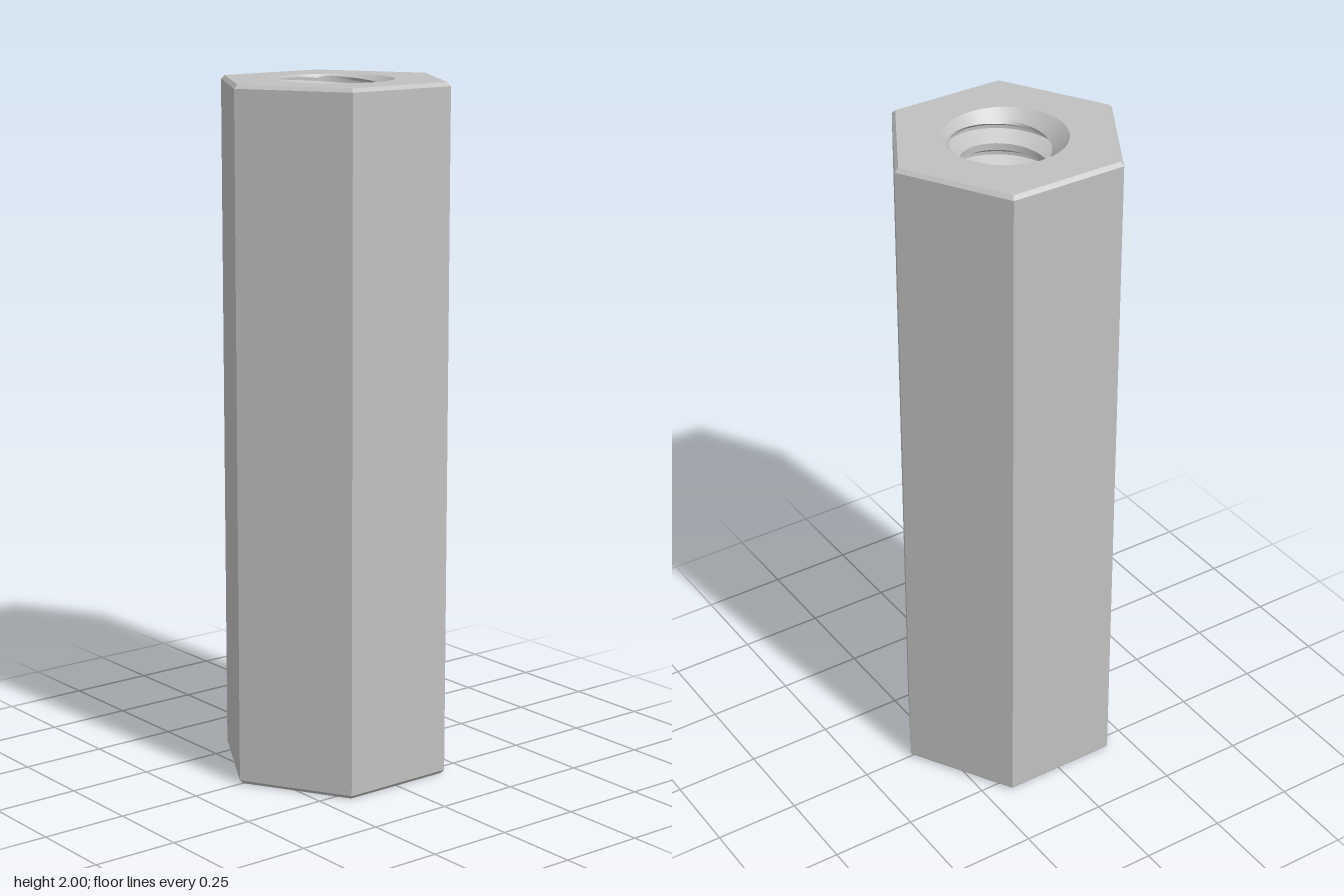
import * as THREE from 'three';
import { toCreasedNormals } from 'three/addons/utils/BufferGeometryUtils.js';

const HEIGHT = 2, HEX_R = 0.345, CHAMFER = 0.011;
const SINK_R = 0.17, MINOR_R = 0.123, MAJOR_R = 0.165, PITCH = 0.08;
const SEGMENTS = 72;

// Six-sided wall with a small chamfer at both ends
function hexWall() {
  const profile = [
    [HEX_R - CHAMFER, 0], [HEX_R, CHAMFER],
    [HEX_R, HEIGHT - CHAMFER], [HEX_R - CHAMFER, HEIGHT],
  ].map(([r, y]) => new THREE.Vector2(r, y));
  return toCreasedNormals(new THREE.LatheGeometry(profile, 6, Math.PI / 2), 0.3);
}

// Hexagonal end face with a round opening
function endFace() {
  const shape = new THREE.Shape();
  for (let i = 0; i < 6; i++) {
    const a = i * Math.PI / 3, r = HEX_R - CHAMFER;
    if (i === 0) shape.moveTo(r, 0);
    else shape.lineTo(r * Math.cos(a), r * Math.sin(a));
  }
  shape.closePath();
  shape.holes.push(new THREE.Path().absarc(0, 0, SINK_R, 0, Math.PI * 2, true));
  return new THREE.ShapeGeometry(shape, SEGMENTS / 2).rotateX(-Math.PI / 2);
}

// Right-handed helical thread, opened by a countersink at each end
function threadedBore() {
  // Position within one pitch and radius: crest, flank, root, flank
  const corners = [[-0.125, MINOR_R], [0.125, MINOR_R], [0.44, MAJOR_R], [0.56, MAJOR_R], [0.875, MINOR_R]];
  const rows = [];
  const turns = Math.ceil(HEIGHT / PITCH);
  for (let k = -2; k <= turns + 1; k++) {
    for (let c = 0; c < 4; c++) {
      for (let s = 0; s < 3; s++) {
        const t = s / 3, [f0, r0] = corners[c], [f1, r1] = corners[c + 1];
        rows.push([k + f0 + (f1 - f0) * t, r0 + (r1 - r0) * t]);
      }
    }
  }
  const positions = [], index = [], ys = [];
  for (const [f, r] of rows) {
    for (let i = 0; i <= SEGMENTS; i++) {
      const a = i / SEGMENTS * Math.PI * 2;
      const y = THREE.MathUtils.clamp((f + i / SEGMENTS) * PITCH + 0.01, 0, HEIGHT);
      const depth = Math.min(y, HEIGHT - y);
      const radius = depth === 0 ? SINK_R : Math.max(r, SINK_R - depth);
      positions.push(radius * Math.cos(a), y, -radius * Math.sin(a));
      ys.push(y);
    }
  }
  const addTriangle = (a, b, c) => {
    const atEnd = ys[a] === ys[b] && ys[b] === ys[c] && (ys[a] === 0 || ys[a] === HEIGHT);
    if (!atEnd) index.push(a, b, c);
  };
  for (let j = 0; j < rows.length - 1; j++) {
    for (let i = 0; i < SEGMENTS; i++) {
      const a = j * (SEGMENTS + 1) + i, b = a + SEGMENTS + 1;
      addTriangle(a, b, a + 1);
      addTriangle(a + 1, b, b + 1);
    }
  }
  const geometry = new THREE.BufferGeometry();
  geometry.setAttribute('position', new THREE.Float32BufferAttribute(positions, 3));
  geometry.setIndex(index);
  return toCreasedNormals(geometry, 0.5);
}

export function createModel() {
  const group = new THREE.Group();
  group.name = 'hexStandoff';
  const metal = new THREE.MeshStandardMaterial({ color: 0xc0c0c0 });
  metal.name = 'silver metal';

  const add = (name, geometry) => {
    const mesh = new THREE.Mesh(geometry, metal);
    mesh.name = name;
    group.add(mesh);
    return mesh;
  };

  add('hexWall', hexWall());
  add('topFace', endFace()).position.y = HEIGHT;
  add('bottomFace', endFace()).rotation.x = Math.PI;
  add('threadedBore', threadedBore());
  return group;
}
